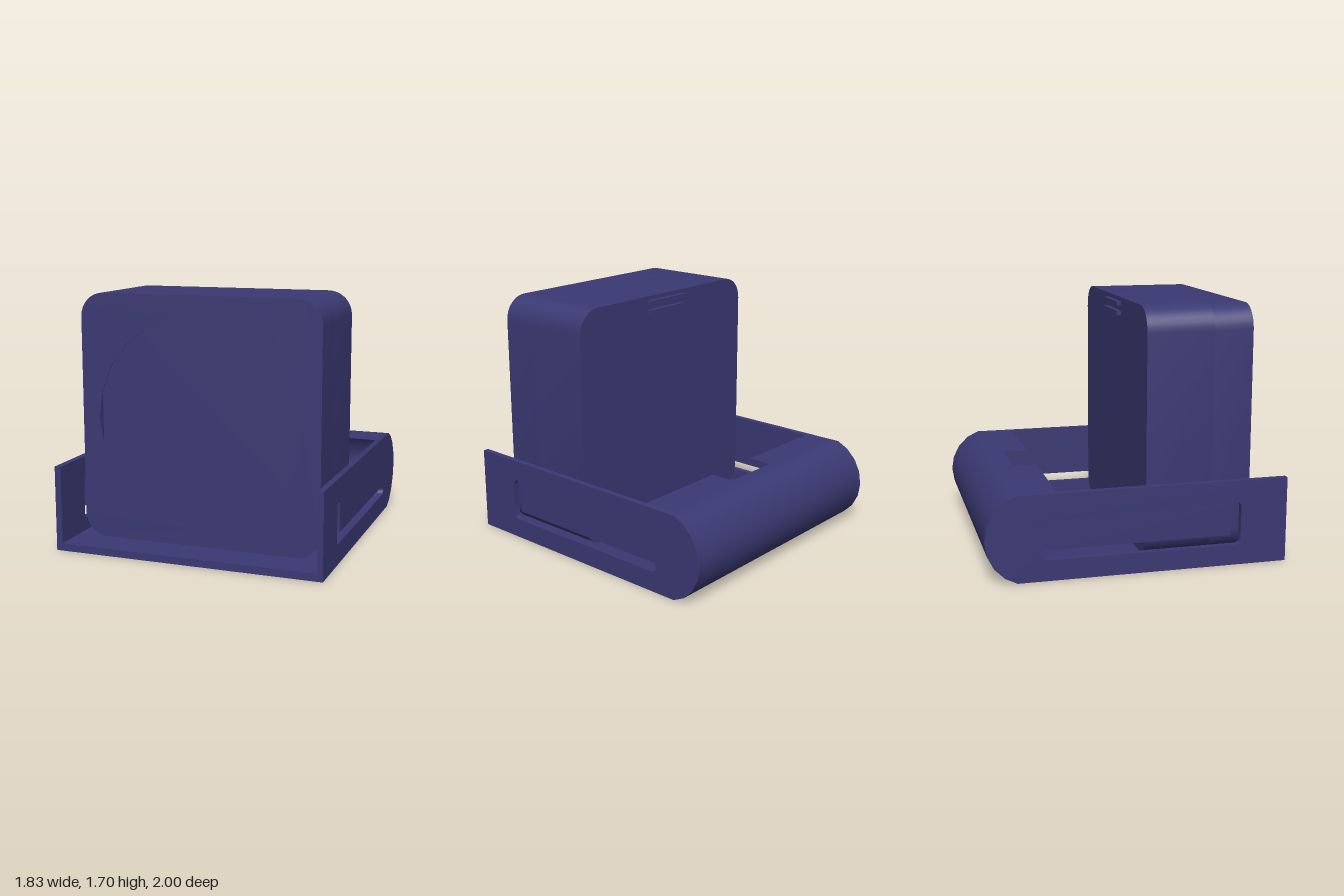
import * as THREE from 'three';
import { toCreasedNormals } from 'three/addons/utils/BufferGeometryUtils.js';

const material = new THREE.MeshStandardMaterial({ color: 0x3a3973 });

function addMesh(parent, name, geometry, x = 0, y = 0, z = 0) {
  const mesh = new THREE.Mesh(toCreasedNormals(geometry, 0.5), material);
  mesh.name = name;
  mesh.position.set(x, y, z);
  parent.add(mesh);
}

const v = (x, y) => new THREE.Vector2(x, y);

const extrude = (shape, depth) =>
  new THREE.ExtrudeGeometry(shape, { depth, bevelEnabled: false });

// Points along an arc, angles in degrees
function arc(cx, cy, r, from, to, steps) {
  return Array.from({ length: steps + 1 }, (_, i) => {
    const a = THREE.MathUtils.degToRad(from + ((to - from) * i) / steps);
    return v(cx + r * Math.cos(a), cy + r * Math.sin(a));
  });
}

// Square outline with rounded corners, centred on the origin
function roundedSquare(half, r) {
  const c = half - r;
  return new THREE.Shape([
    ...arc(c, -c, r, -90, 0, 8),
    ...arc(c, c, r, 0, 90, 8),
    ...arc(-c, c, r, 90, 180, 8),
    ...arc(-c, -c, r, 180, 270, 8),
  ]);
}

// Tray with open front, slotted sides and a hollow rounded back.
// Side profiles are drawn with (-z, y) and extruded along x.
function createTray() {
  const tray = new THREE.Group();
  tray.name = 'tray';
  const H = 0.57, W = 0.915, innerRight = -0.872, innerLeft = 0.876;
  const floor = 0.05, lid = 0.004, lidBack = 0.7, lidFront = 0.535;
  const outerEnd = [v(0.795, 0), ...arc(0.697, H / 2, 0.303, -54, 54, 6), v(0.795, H)];

  // Side walls with L-shaped guide slots
  const side = new THREE.Shape([v(-1, 0), ...outerEnd, v(-1, H)]);
  side.holes.push(new THREE.Path([
    ...arc(-0.653, 0.167, 0.03, 270, 180, 4),
    ...arc(-0.648, 0.393, 0.035, 180, 0, 8),
    v(-0.613, 0.205),
    ...arc(0.6125, 0.171, 0.034, 90, -90, 8),
  ]));
  for (const [name, x0, x1] of [['leftWall', innerLeft, W], ['rightWall', -W, innerRight]]) {
    addMesh(tray, name, extrude(side, x1 - x0).rotateY(Math.PI / 2), x0);
  }

  // Floor and curved back as one bent sheet, thinning towards the lid
  const sheet = new THREE.Shape([
    v(-1, 0), ...outerEnd, v(lidBack, H), v(lidBack, H - lid), v(0.764, H - lid),
    ...arc(0.68, (H + floor) / 2, 0.273, 54, -54, 6), v(0.764, floor), v(-1, floor),
  ]);
  addMesh(tray, 'floorAndBack', extrude(sheet, innerLeft - innerRight).rotateY(Math.PI / 2), innerRight);

  // Thin lid, interrupted by the central notch
  for (const [name, x0, x1] of [['lidRight', innerRight, -0.197], ['lidLeft', 0.217, innerLeft]]) {
    addMesh(tray, name, new THREE.BoxGeometry(x1 - x0, lid, lidBack - lidFront),
      (x0 + x1) / 2, H - lid / 2, -(lidBack + lidFront) / 2);
  }
  return tray;
}

// Upright rounded housing, hollow behind its thin front plate
function createHousing() {
  const housing = new THREE.Group();
  housing.name = 'housing';
  const half = 0.82, r = 0.16, wall = 0.01;
  const zBack = 0.067, zFront = 0.775, plate = 0.004, recess = 0.26;

  addMesh(housing, 'housingBody', extrude(roundedSquare(half, r), zFront - recess - zBack), 0, 0, zBack);

  const rim = roundedSquare(half, r);
  rim.holes.push(roundedSquare(half - wall, r - wall));
  addMesh(housing, 'housingRim', extrude(rim, recess - plate), 0, 0, zFront - recess);

  // Front plate with the round opening and a curved corner window
  const front = roundedSquare(half, r);
  front.holes.push(new THREE.Path(arc(0, 0, 0.7, 360, 15, 23)));
  front.holes.push(new THREE.Path([
    ...arc(0.665, 0.66, 0.035, 90, 0, 4),
    v(0.7, 0.41), v(0.69, 0.398), v(0.674, 0.406),
    ...arc(0, 0, 0.79, 35, 55, 6),
    v(0.4, 0.677), v(0.397, 0.688), v(0.412, 0.695),
  ]));
  addMesh(housing, 'frontPlate', extrude(front, plate), 0, 0, zFront - plate);

  // Two narrow ribs high on the back
  for (const y of [0.715, 0.778]) {
    addMesh(housing, 'backRib', new THREE.BoxGeometry(0.355, 0.028, 0.04), 0, y, 0.055);
  }
  housing.position.set(0.01, 0.877, 0);
  return housing;
}

export function createModel() {
  const model = new THREE.Group();
  model.name = 'housingOnTray';
  model.add(createTray(), createHousing());
  return model;
}
